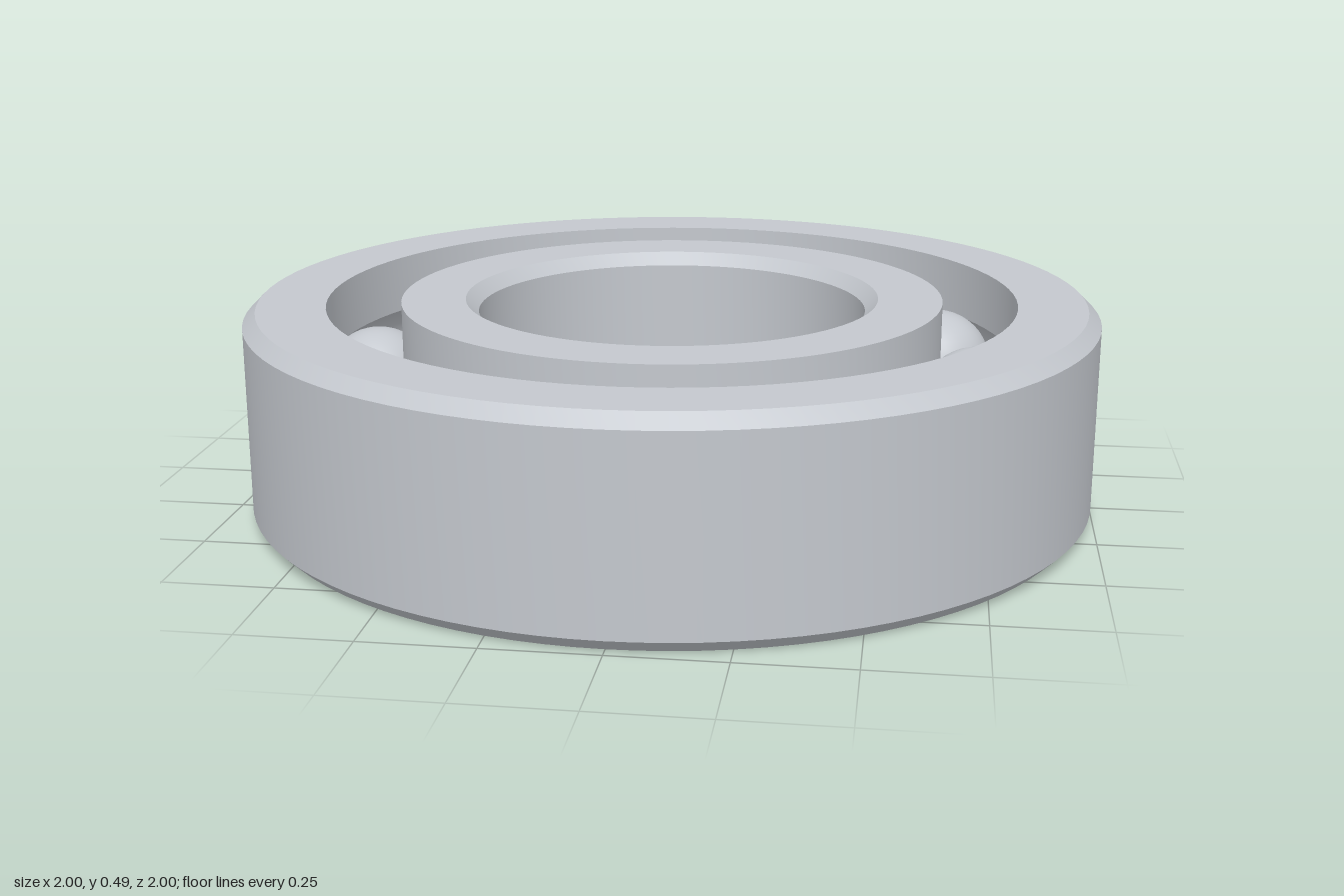
import * as THREE from 'three';
import { toCreasedNormals } from 'three/addons/utils/BufferGeometryUtils.js';

const HEIGHT = 0.49, MID = HEIGHT / 2, CHAMFER = 0.03;
const PITCH = 0.725, BALL_R = 0.137, BALLS = 12;

// Points of the ball groove where it cuts a wall of radius wallR, from bottom to top
function groove(wallR, steps = 16) {
  const offset = wallR - PITCH;
  const half = Math.acos(Math.abs(offset) / BALL_R);
  const points = [];
  for (let i = 0; i <= steps; i++) {
    const a = -half + (2 * half * i) / steps;
    points.push([PITCH + Math.sign(offset) * BALL_R * Math.cos(a), MID + BALL_R * Math.sin(a)]);
  }
  return points;
}

// Closed ring turned from a counter-clockwise (radius, height) profile
function ring(name, profile, material) {
  const points = [...profile, profile[0]].map(([r, y]) => new THREE.Vector2(r, y));
  const geometry = toCreasedNormals(new THREE.LatheGeometry(points, 96), 0.5);
  const mesh = new THREE.Mesh(geometry, material);
  mesh.name = name;
  return mesh;
}

export function createModel() {
  const model = new THREE.Group();
  model.name = 'ballBearing';
  const steel = new THREE.MeshStandardMaterial({ color: 0xc4c8ce });
  steel.name = 'steel';

  // Outer ring: chamfered outside, grooved inside
  model.add(ring('outerRing', [
    [0.81, 0], [1 - CHAMFER, 0], [1, CHAMFER],
    [1, HEIGHT - CHAMFER], [1 - CHAMFER, HEIGHT], [0.81, HEIGHT],
    ...groove(0.81).reverse(),
  ], steel));

  // Inner ring: grooved outside, chamfered bore
  const bore = 0.457;
  model.add(ring('innerRing', [
    [bore, CHAMFER], [bore + CHAMFER, 0], [0.637, 0],
    ...groove(0.637),
    [0.637, HEIGHT], [bore + CHAMFER, HEIGHT], [bore, HEIGHT - CHAMFER],
  ], steel));

  // Balls evenly spaced in the race
  const balls = new THREE.Group();
  balls.name = 'balls';
  const ballGeometry = new THREE.SphereGeometry(BALL_R, 32, 24);
  for (let i = 0; i < BALLS; i++) {
    const a = (i / BALLS) * Math.PI * 2;
    const ball = new THREE.Mesh(ballGeometry, steel);
    ball.name = 'ball';
    ball.position.set(PITCH * Math.cos(a), MID, PITCH * Math.sin(a));
    balls.add(ball);
  }
  model.add(balls);
  return model;
}
